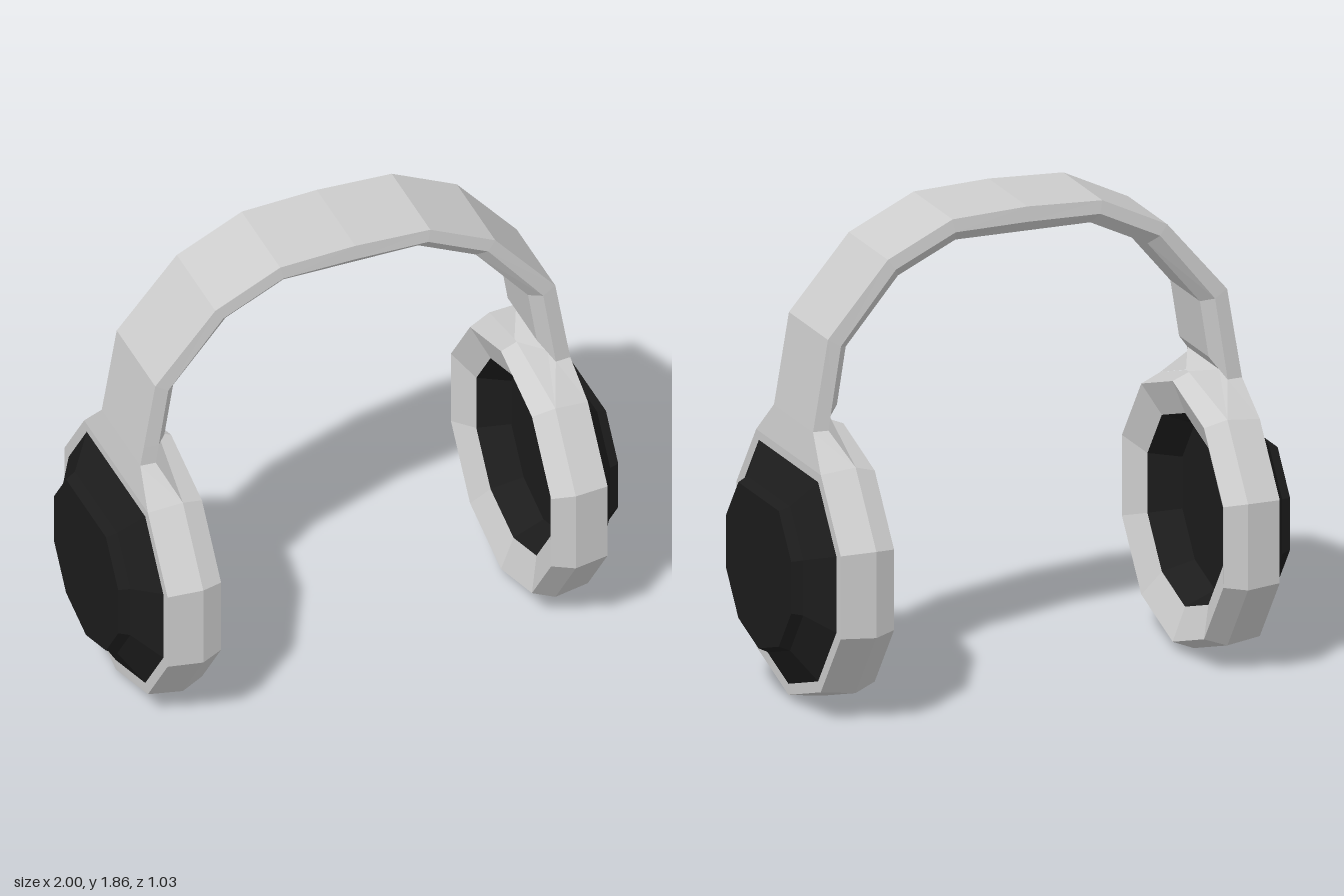
import * as THREE from 'three';

const SIDES = 10;
const CUP_Y = 0.541;

// Joins closed rings of points into a flat-shaded skin; mirror = -1 flips it across x = 0
function loft(rings, mirror = 1) {
  const pos = [];
  const put = (...pts) => pts.forEach(p => pos.push(p[0] * mirror, p[1], p[2]));
  for (let i = 0; i < rings.length - 1; i++) {
    const n = rings[i].length;
    for (let k = 0; k < n; k++) {
      const j = (k + 1) % n;
      const a = rings[i][k], b = rings[i][j], c = rings[i + 1][j], d = rings[i + 1][k];
      if (mirror > 0) put(a, d, c, a, c, b);
      else put(a, c, d, a, b, c);
    }
  }
  const geo = new THREE.BufferGeometry();
  geo.setAttribute('position', new THREE.Float32BufferAttribute(pos, 3));
  geo.computeVertexNormals();
  return geo;
}

// Ten-sided ring around the x axis, with its top corner optionally cut level
function cupRing([x, r, flatTop]) {
  const ring = [];
  for (let k = 0; k < SIDES; k++) {
    const a = (k / SIDES) * Math.PI * 2;
    const up = flatTop && k === SIDES / 2 ? r * Math.cos(Math.PI / 5) : -r * Math.cos(a);
    ring.push([x, CUP_Y + up, r * Math.sin(a)]);
  }
  return ring;
}

// Six-sided band section: outer edge, side edge and bevelled inner edge
function bandSection([outer, side, inner, zo = 0.185, zs = 0.19, zi = 0.14]) {
  return [
    [...outer, -zo], [...side, -zs], [...inner, -zi],
    [...inner, zi], [...side, zs], [...outer, zo],
  ];
}

export function createModel() {
  const group = new THREE.Group();
  const grey = new THREE.MeshStandardMaterial({ color: 0xcdcdcd });
  grey.name = 'light grey';
  const black = new THREE.MeshStandardMaterial({ color: 0x1c1c1c });
  black.name = 'soft black';

  const add = (parent, name, geo, mat) => {
    const mesh = new THREE.Mesh(geo, mat);
    mesh.name = name;
    parent.add(mesh);
  };

  // Headband, from the crown down to the shoulders that spread over the cups
  const half = [
    [[0, 1.858], [0, 1.8], [0, 1.75]],
    [[0.3, 1.845], [0.29, 1.795], [0.27, 1.75]],
    [[0.56, 1.72], [0.53, 1.68], [0.5, 1.64]],
    [[0.8, 1.44], [0.75, 1.41], [0.71, 1.39]],
    [[0.846, 1.17], [0.788, 1.17], [0.745, 1.17]],
    [[0.86, 1.09], [0.8, 1.09], [0.783, 1.12], 0.185, 0.19, 0.15],
    [[0.88, 0.9617], [0.745, 0.978], [0.718, 1.08], 0.3057, 0.3174, 0.01],
  ].map(bandSection);
  const otherHalf = half.slice(1).reverse().map(s => s.map(([x, y, z]) => [-x, y, z]));
  add(group, 'headband', loft([...otherHalf, ...half]), grey);

  // Ear cups, mirrored: [x, radius, flat top]
  const shell = [[0.71, 0.375], [0.66, 0.505], [0.745, 0.54], [0.88, 0.52, true], [0.88, 0.477, true]];
  const cover = [[0.88, 0.477, true], [0.96, 0.345, true], [1, 0.325, true], [1, 0]];
  const recess = [[0.83, 0], [0.83, 0.325], [0.71, 0.375]];
  for (const [side, m] of [['left', 1], ['right', -1]]) {
    const cup = new THREE.Group();
    cup.name = side + 'EarCup';
    add(cup, side + 'CupShell', loft(shell.map(cupRing), m), grey);
    add(cup, side + 'OuterCover', loft(cover.map(cupRing), m), black);
    add(cup, side + 'EarRecess', loft(recess.map(cupRing), m), black);
    group.add(cup);
  }
  return group;
}
